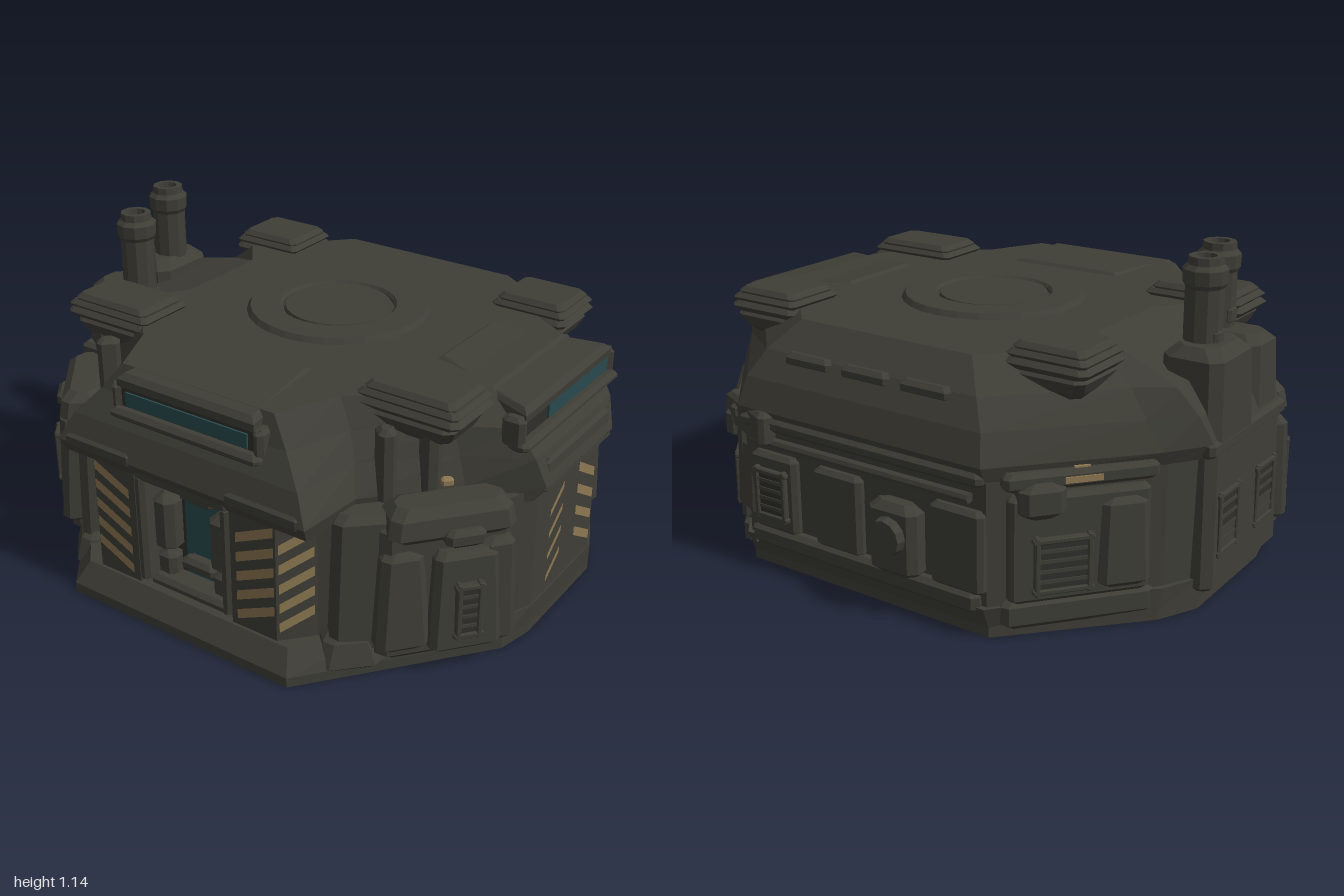
import * as THREE from 'three';
import { mergeGeometries } from 'three/addons/utils/BufferGeometryUtils.js';

const mat = (name, color) => Object.assign(new THREE.MeshStandardMaterial({ color }), { name });
const body = mat('olive grey armour', 0x3e3d36);
const dark = mat('dark recess', 0x2f2e29);
const tan = mat('tan hazard paint', 0x8c7752);
const teal = mat('teal glass', 0x28494e);

// Faceted solid through rings [y, [[x, z], ...]], each ring running from front past +x to back
function loft(rings) {
  const v = [], n = rings[0][1].length;
  const at = (r, i) => [rings[r][1][i % n][0], rings[r][0], rings[r][1][i % n][1]];
  for (let r = 0; r < rings.length - 1; r++)
    for (let i = 0; i < n; i++) {
      const a = at(r, i), b = at(r, i + 1), c = at(r + 1, i + 1), d = at(r + 1, i);
      v.push(...a, ...b, ...c, ...a, ...c, ...d);
    }
  const cap = (r, flip) => {
    const flat = rings[r][1].map(([x, z]) => new THREE.Vector2(x, -z));
    for (const f of THREE.ShapeUtils.triangulateShape(flat, []))
      for (const i of flip ? [f[2], f[1], f[0]] : f) v.push(...at(r, i));
  };
  cap(0, true);
  cap(rings.length - 1, false);
  const g = new THREE.BufferGeometry();
  g.setAttribute('position', new THREE.Float32BufferAttribute(v, 3));
  g.computeVertexNormals();
  return g;
}

// Chamfered block, centred; taper shrinks the top
function block(w, h, d, c = 0.015, taper = 0) {
  const ring = (y, inset) => {
    const x = w / 2 - inset, z = d / 2 - inset;
    return [y, [[x - c, z], [x, z - c], [x, c - z], [x - c, -z], [c - x, -z], [-x, c - z], [-x, z - c], [c - x, z]]];
  };
  return loft([ring(-h / 2, c), ring(-h / 2 + c, 0), ring(h / 2 - c, taper), ring(h / 2, taper + c)]);
}

function facet(g) {
  const f = g.toNonIndexed();
  f.computeVertexNormals();
  return f;
}

// Closed outline from a front-to-back half on +x and its mirrored partner
const mirror = (half, other = half) => [...half, ...other.slice().reverse().map(([x, z]) => [-x, z])];

function add(parent, name, geo, material, x = 0, y = 0, z = 0, ry = 0) {
  const m = new THREE.Mesh(geo, material);
  m.name = name;
  m.position.set(x, y, z);
  m.rotation.y = ry;
  parent.add(m);
  return m;
}

function group(parent, name, x = 0, y = 0, z = 0, ry = 0) {
  const g = new THREE.Group();
  g.name = name;
  g.position.set(x, y, z);
  g.rotation.y = ry;
  parent.add(g);
  return g;
}

// Slanted paint bars on a w-wide panel, centred
function bars(w, rise, rows = 5, pitch = 0.073, t = 0.036) {
  const list = [];
  for (let i = 0; i < rows; i++) {
    const y = (i - (rows - 1) / 2) * pitch, a = y - rise / 2, b = y + rise / 2, x = w / 2;
    list.push(new THREE.ShapeGeometry(new THREE.Shape([
      new THREE.Vector2(-x, a - t / 2), new THREE.Vector2(x, b - t / 2),
      new THREE.Vector2(x, b + t / 2), new THREE.Vector2(-x, a + t / 2)])));
  }
  return mergeGeometries(list);
}

// Framed vent with slats, facing local +z
function vent(parent, x, y, z, w, h) {
  const g = group(parent, 'vent', x, y, z);
  add(g, 'ventOpening', new THREE.BoxGeometry(w, h, 0.012), dark);
  for (const s of [-1, 1]) {
    add(g, 'ventJamb', block(0.018, h + 0.03, 0.03, 0.004), body, s * w / 2);
    add(g, 'ventRail', block(w + 0.03, 0.018, 0.03, 0.004), body, 0, s * h / 2);
  }
  for (let i = 1; i < 5; i++) add(g, 'ventSlat', new THREE.BoxGeometry(w, 0.012, 0.02), body, 0, -h / 2 + i * h / 5);
}

// Roof window: sloping trapezoid hood, glass strip, sill and cheeks, facing local +z
function roofWindow(parent, x, z, ry, near, far, reach, lip, glassX, glassW) {
  const g = group(parent, 'roofWindow', x, 0, z, ry);
  const plate = (k, e) => [[far - k, -e], [near - k, -reach + e], [k - near, -reach + e], [k - far, -e]];
  const tilt = Math.asin((0.876 - lip) / reach);
  const hood = add(g, 'windowHood', loft([[-0.045, plate(0, 0)], [-0.018, plate(0, 0)], [0, plate(0.02, 0.02)]]), body, 0, lip, 0);
  hood.rotation.x = tilt;
  add(g, 'windowRecess', new THREE.BoxGeometry(far * 2, 0.1, 0.04), dark, 0, 0.77, -0.03);
  add(g, 'windowGlass', new THREE.BoxGeometry(glassW, 0.05, 0.008), teal, glassX, 0.776, -0.007);
  add(g, 'windowSill', block(far * 2 + 0.06, 0.04, 0.08), body, 0, 0.725, -0.015);
  for (const s of [-1, 1]) add(g, 'windowCheek', block(0.04, 0.11, 0.08), body, s * (far + 0.01), 0.77, -0.035);
}

// Layered roof pad on a tapering bracket
function pad(parent, x, z, w, d) {
  const g = group(parent, 'roofPad', x, 0, z);
  add(g, 'padBracket', block(w * 0.74, 0.09, d * 0.74, 0.025, -0.02), body, 0, 0.795, 0);
  add(g, 'padBase', block(w, 0.045, d, 0.022), body, 0, 0.848);
  add(g, 'padMiddle', block(w * 0.96, 0.03, d * 0.95, 0.014), body, 0, 0.876);
  add(g, 'padTop', block(w * 0.86, 0.036, d * 0.84, 0.016), body, 0, 0.896);
}

export function createModel() {
  const root = new THREE.Group();
  root.name = 'bunker';

  // Plinth, walls with a door notch, and sloped roof with niches under the front pads
  const foot = mirror([[0.46, 0.9], [0.63, 0.69], [0.92, 0.33], [0.95, 0.2], [0.95, -0.26], [0.88, -0.4], [0.5, -0.8]]);
  const footTop = mirror([[0.43, 0.85], [0.6, 0.67], [0.91, 0.33], [0.955, 0.2], [0.955, -0.25], [0.89, -0.39], [0.5, -0.83]]);
  add(root, 'plinth', loft([[0, foot], [0.035, foot], [0.11, footTop]]), body);
  const wall = mirror([[0.2, 0.7], [0.2, 0.84], [0.38, 0.84], [0.47, 0.74], [0.6, 0.64], [0.9, 0.32],
    [0.95, 0.2], [0.95, -0.24], [0.88, -0.37], [0.5, -0.81]]);
  add(root, 'walls', loft([[0.08, wall], [0.56, wall]]), body);
  add(root, 'roof', loft([
    [0.53, mirror([[0.5, 0.84], [0.52, 0.62], [0.77, 0.36], [0.95, 0.24], [0.96, -0.27], [0.86, -0.41], [0.5, -0.82]])],
    [0.58, mirror([[0.51, 0.865], [0.53, 0.62], [0.77, 0.36], [0.985, 0.22], [0.985, -0.27], [0.88, -0.42], [0.5, -0.84]])],
    [0.68, mirror([[0.46, 0.83], [0.5, 0.58], [0.74, 0.35], [0.95, 0.24], [0.95, -0.31], [0.83, -0.43], [0.48, -0.81]])],
    [0.77, mirror([[0.38, 0.775], [0.46, 0.55], [0.71, 0.34], [0.885, 0.24], [0.885, -0.34], [0.77, -0.42], [0.43, -0.76]])],
    [0.865, mirror([[0.31, 0.74], [0.41, 0.53], [0.67, 0.33], [0.76, 0.2], [0.76, -0.3], [0.64, -0.37], [0.35, -0.67]],
      [[0.31, 0.74], [0.41, 0.53], [0.64, 0.28], [0.54, 0.12], [0.54, -0.24], [0.64, -0.37], [0.35, -0.67]])]]), body);

  // Deck ring and hatch
  const ring = new THREE.LatheGeometry([[0.33, 0], [0.315, 0.022], [0.21, 0.022], [0.2, 0.012], [0.2, 0]]
    .map(([r, y]) => new THREE.Vector2(r, y)), 28);
  add(root, 'deckRing', facet(ring), body, 0, 0.862, -0.05);
  add(root, 'deckHatch', facet(new THREE.CylinderGeometry(0.19, 0.197, 0.022, 28)), body, 0, 0.869, -0.05);

  // Roof windows at front and on the left side
  roofWindow(root, 0, 0.805, 0, 0.23, 0.28, 0.39, 0.862, 0, 0.5);
  roofWindow(root, 0.915, -0.055, Math.PI / 2, 0.18, 0.31, 0.41, 0.845, 0.075, 0.44);
  add(root, 'sideBrow', block(0.06, 0.13, 0.5, 0.02, 0.01), body, 0.95, 0.6, -0.04);

  // Door in its notch
  const door = group(root, 'door', 0, 0, 0.72);
  add(door, 'doorBack', new THREE.BoxGeometry(0.4, 0.44, 0.02), dark, 0, 0.32, -0.015);
  add(door, 'doorGlass', new THREE.BoxGeometry(0.17, 0.36, 0.008), teal, 0, 0.31, 0.002);
  add(door, 'doorLintel', block(0.4, 0.07, 0.14), body, 0, 0.55, 0.06);
  add(door, 'doorHeader', block(0.15, 0.08, 0.05), body, 0, 0.48, 0.03);
  add(door, 'doorFoot', block(0.15, 0.05, 0.06), body, 0, 0.2, 0.03);
  add(door, 'doorSill', block(0.36, 0.06, 0.1), body, 0, 0.11, 0.05);
  add(door, 'doorStep', block(0.44, 0.04, 0.12), body, 0, 0.02, 0.12);

  for (const s of [-1, 1]) {
    add(door, 'doorJamb', block(0.045, 0.42, 0.14), body, s * 0.18, 0.33, 0.06);
    add(door, 'doorClamp', block(0.09, 0.22, 0.09, 0.025), body, s * 0.12, 0.35, 0.05);
    add(door, 'doorLowerClamp', block(0.08, 0.1, 0.07, 0.02), body, s * 0.12, 0.19, 0.05);
    // Hazard paint beside the door
    add(root, 'frontStripes', bars(0.15, s * 0.07), tan, s * 0.3, 0.335, 0.844);
    add(root, 'frontAngleStripes', bars(0.115, s * 0.055), tan, s * 0.428, 0.335, 0.794, s * 0.838);
    // Brow corners and columns
    add(root, 'browBlock', block(0.3, 0.06, 0.05), body, s * 0.34, 0.585, 0.84);
    add(root, 'column', block(0.24, 0.5, 0.12, 0.025, 0.015), body, s * 0.585, 0.32, 0.645, s * 0.75);
    add(root, 'columnFoot', block(0.21, 0.14, 0.15, 0.03, 0.02), body, s * 0.55, 0.08, 0.69, s * 0.8);

    // Front corner pods
    const pod = group(root, 'cornerPod', s * 0.757, 0, 0.47, s * 0.877);
    add(pod, 'podBody', block(0.46, 0.5, 0.16, 0.03, 0.015), body, 0, 0.3, 0);
    add(pod, 'podCap', block(0.42, 0.12, 0.17, 0.03, 0.01), body, s * 0.01, 0.54, 0.01);
    add(pod, 'podLowerBox', block(0.24, 0.36, 0.15, 0.02, 0.015), body, s * 0.05, 0.27, 0.055);
    add(pod, 'podSideBox', block(0.13, 0.38, 0.1, 0.02, 0.01), body, s * 0.16, 0.28, 0.06);
    add(pod, 'podInnerBox', block(0.18, 0.36, 0.13, 0.025, 0.02), body, s * -0.15, 0.28, 0.045);
    add(pod, 'podLatch', block(0.13, 0.06, 0.07), body, s * 0.04, 0.5, 0.085);
    vent(pod, s * 0.05, 0.25, 0.131, 0.07, 0.18);

    // Roof pads and the braces in the niches
    pad(root, s * 0.62, 0.375, 0.38, 0.25);
    pad(root, s * 0.58, -0.5, 0.3, 0.26);
    for (const k of [0, 1])
      add(root, 'nicheBrace', block(0.06, 0.26, 0.08, 0.015), body, s * (0.58 + k * 0.1), 0.68, 0.53 - k * 0.1, s * 0.8);

    // Back diagonal machinery
    const diag = group(root, 'backDiagonal', s * 0.675, 0, -0.575, s * 2.27);
    add(diag, 'diagPanel', block(0.46, 0.36, 0.08), body, 0, 0.3, 0.015);
    add(diag, 'diagBeam', block(0.5, 0.06, 0.1), body, 0, 0.53, 0.02);
    add(diag, 'diagBox', block(0.17, 0.3, 0.1, 0.02, 0.01), body, s * -0.14, 0.3, 0.035);
    add(diag, 'diagTopBox', block(0.15, 0.12, 0.1, 0.025), body, s * 0.13, 0.47, 0.045);
    vent(diag, s * 0.06, 0.25, 0.062, 0.17, 0.17);
    add(diag, 'diagFoot', block(0.5, 0.1, 0.07, 0.02), body, 0, 0.08, 0.015);
    if (s < 0) {
      add(diag, 'marker', new THREE.BoxGeometry(0.12, 0.02, 0.008), tan, 0, 0.53, 0.071);
      add(diag, 'markerTop', new THREE.BoxGeometry(0.05, 0.008, 0.02), tan, 0, 0.561, 0.045);
    }
  }
  add(root, 'nicheMarker', block(0.04, 0.028, 0.03, 0.006), tan, 0.735, 0.615, 0.415, 0.8);
  add(root, 'backCornerBeam', block(0.32, 0.12, 0.06, 0.015), body, 0.5, 0.52, -0.785, 2.72);
  add(root, 'backCornerBox', block(0.16, 0.26, 0.06, 0.015, 0.01), body, 0.53, 0.3, -0.765, 2.72);

  // Hazard paint on the left wall
  add(root, 'sideStripes', bars(0.13, -0.08, 4, 0.085), tan, 0.954, 0.335, -0.16, Math.PI / 2);
  add(root, 'wornStripes', bars(0.09, 0.07, 4, 0.085, 0.024), tan, 0.954, 0.325, 0.06, Math.PI / 2);
  add(root, 'sideAngleStripes', bars(0.125, 0.055), tan, 0.919, 0.345, -0.307, 2.065);

  // Back wall: panels, pipe and rounded hatch
  const back = group(root, 'backWall', 0, 0, -0.81, Math.PI);
  add(back, 'backBeam', block(1, 0.05, 0.07), body, 0, 0.535, 0);
  add(back, 'backPipe', facet(new THREE.CylinderGeometry(0.018, 0.018, 0.9, 8).rotateZ(Math.PI / 2)), body, 0, 0.47, 0.015);
  for (const x of [-0.36, -0.08, 0.4]) add(back, 'backPanel', block(0.2, 0.28, 0.05), body, x, 0.29, 0.005);
  add(back, 'backFoot', block(0.96, 0.08, 0.05, 0.02), body, 0, 0.12, 0.005);
  add(back, 'hatchBlock', block(0.19, 0.25, 0.09, 0.025), body, 0.17, 0.27, 0.02);
  add(back, 'hatchDrum', facet(new THREE.CylinderGeometry(0.06, 0.072, 0.06, 12).rotateX(Math.PI / 2)), body, 0.17, 0.29, 0.065);
  for (const x of [-0.24, 0, 0.24]) add(back, 'roofRib', block(0.2, 0.05, 0.06, 0.015), body, x, 0.755, -0.06);
  vent(back, -0.36, 0.29, 0.034, 0.12, 0.16);

  // Chimney tower on the right side
  const tower = group(root, 'chimneyTower');
  add(tower, 'towerBase', block(0.2, 0.52, 0.54, 0.03, 0.01), body, -0.895, 0.31, -0.01);
  add(tower, 'rearTower', block(0.23, 0.36, 0.29, 0.035, 0.01), body, -0.88, 0.69, -0.125);
  add(tower, 'frontTower', block(0.22, 0.3, 0.2, 0.03, 0.01), body, -0.87, 0.69, 0.14);
  add(tower, 'towerBelt', block(0.2, 0.06, 0.56), body, -0.895, 0.56, -0.01);
  for (const z of [-0.15, 0.13]) {
    const g = group(tower, 'towerVent', -0.99, 0, z, -Math.PI / 2);
    vent(g, 0, 0.29, -0.005, 0.13, 0.2);
  }
  const stack = [[0, 0], [0.08, 0], [0.08, 0.05], [0.063, 0.07], [0.063, 0.27], [0.072, 0.285], [0.074, 0.33],
    [0.058, 0.345], [0.056, 0.37], [0.035, 0.37], [0.03, 0.32], [0, 0.32]].map(([r, y]) => new THREE.Vector2(r, y));
  for (const [x, z, top] of [[-0.86, -0.13, 1.14], [-0.775, 0.145, 1.125]]) {
    add(tower, 'chimney', facet(new THREE.LatheGeometry(stack, 10)), body, x, top - 0.37, z);
    add(tower, 'chimneyBracket', block(0.05, 0.06, 0.06, 0.01), body, x - 0.04, 0.88, z);
  }
  return root;
}
